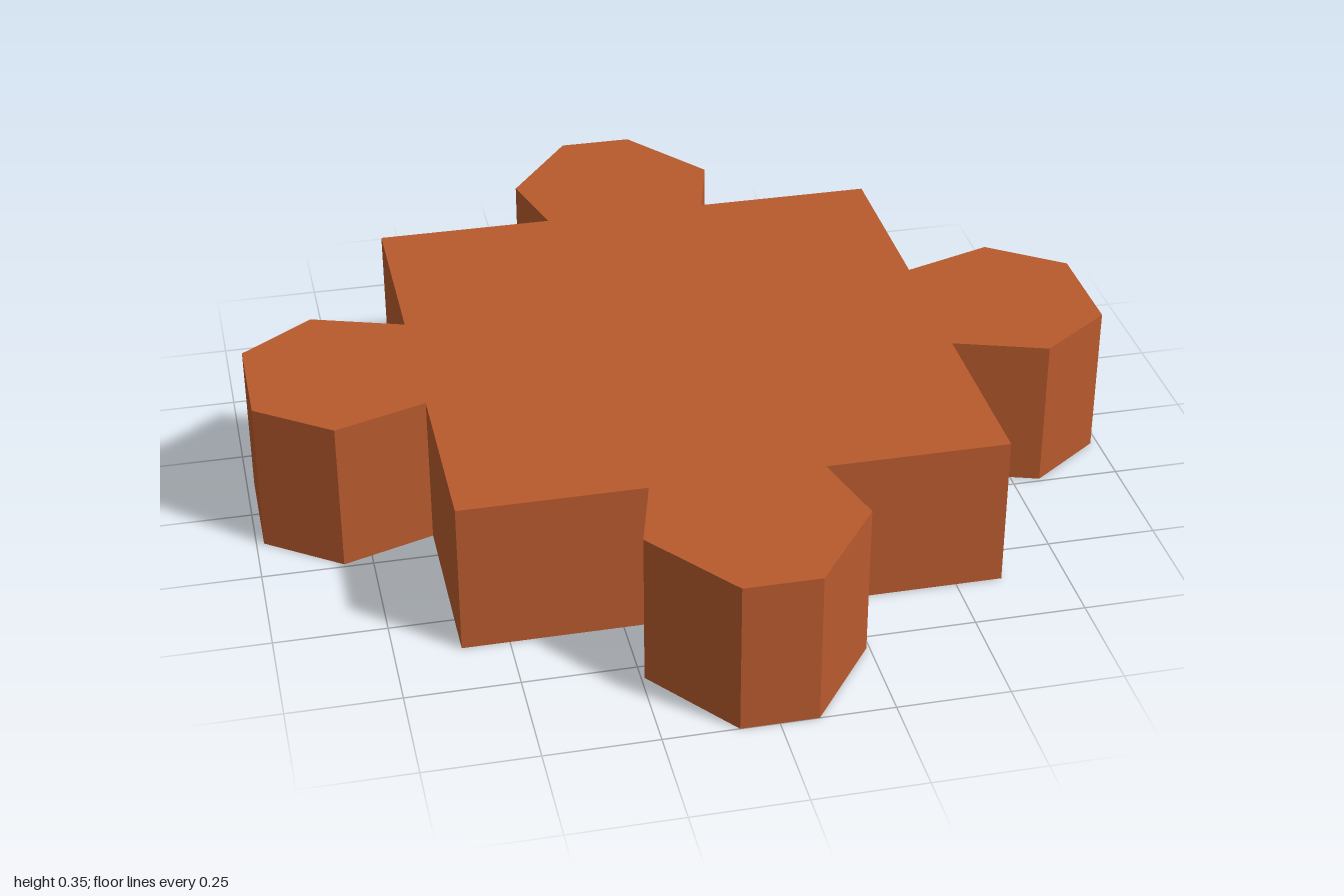
import * as THREE from 'three';

const HEIGHT = 0.355;
const HALF = 0.605; // half width of the square body

// Half a knob as [distance from centre, half width], from neck to tip
const sideKnob = [[HALF, 0.175], [0.815, 0.245], [0.983, 0.125]];
const endKnob = [[HALF, 0.193], [0.79, 0.243], [1, 0.085]];

// One edge of the outline: a body corner, then out and back around a knob
function edge(knob, angle, shift) {
  const points = [
    [HALF, -HALF],
    ...knob.map(([d, w]) => [d, -w + shift]),
    ...[...knob].reverse().map(([d, w]) => [d, w + shift]),
  ];
  const origin = new THREE.Vector2();
  return points.map(([x, y]) => new THREE.Vector2(x, y).rotateAround(origin, angle));
}

export function createModel() {
  const group = new THREE.Group();
  group.name = 'pavingBlock';

  // Square body and its four knobs as one continuous outline
  const outline = [];
  for (let i = 0; i < 4; i++) {
    const isSide = i % 2 === 0;
    const shift = isSide ? (i === 0 ? 0.004 : -0.004) : 0;
    outline.push(...edge(isSide ? sideKnob : endKnob, i * Math.PI / 2, shift));
  }

  // Extrude upward, with the base on the ground
  const geometry = new THREE.ExtrudeGeometry(new THREE.Shape(outline), {
    depth: HEIGHT,
    bevelEnabled: false,
  });
  geometry.rotateX(-Math.PI / 2);

  const block = new THREE.Mesh(
    geometry,
    new THREE.MeshStandardMaterial({ color: 0xb85a2d, flatShading: true })
  );
  block.name = 'knobbedBlock';
  group.add(block);
  return group;
}
